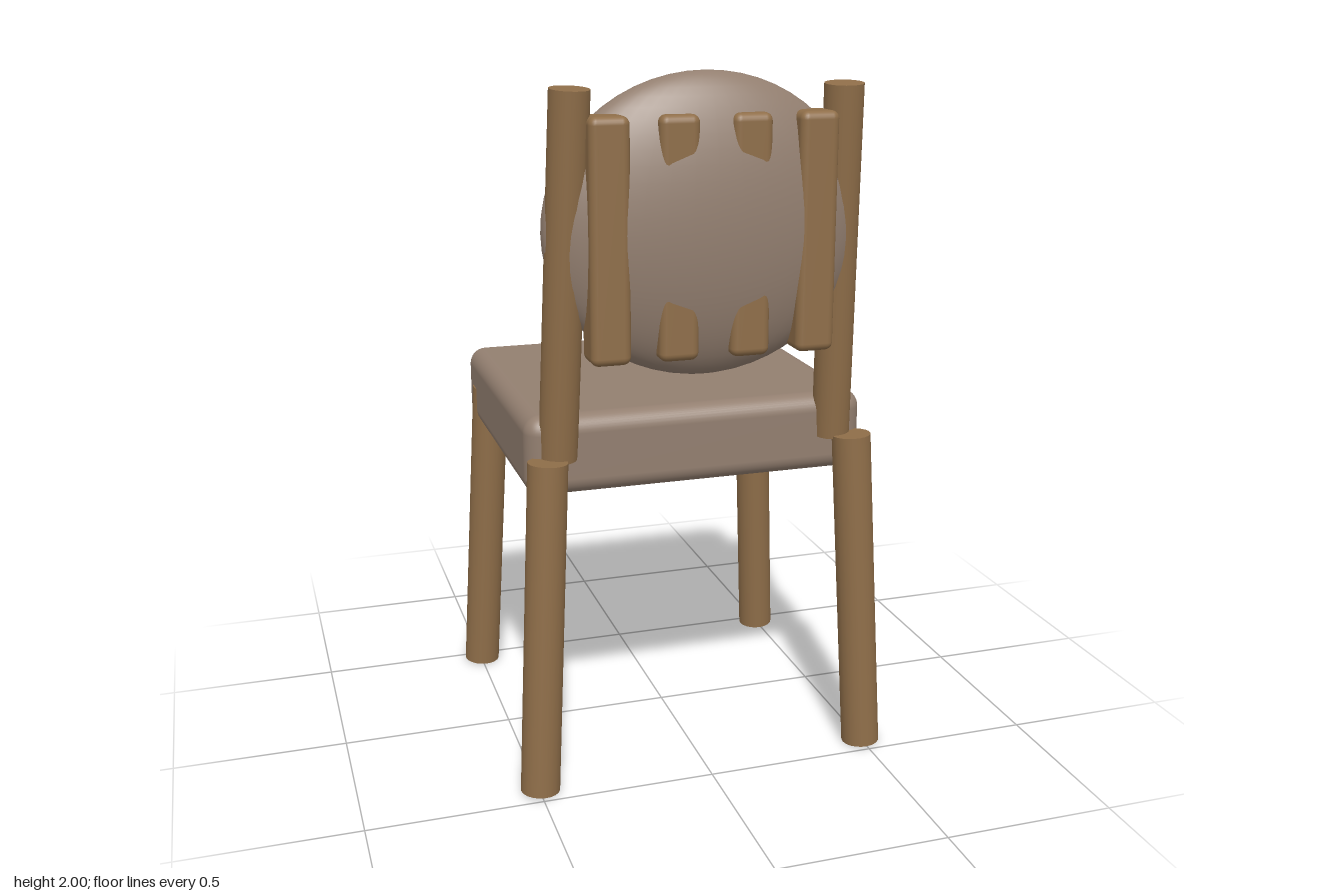
import * as THREE from 'three';
import { RoundedBoxGeometry } from 'three/addons/geometries/RoundedBoxGeometry.js';

export function createModel() {
  const group = new THREE.Group();
  const wood = new THREE.MeshStandardMaterial({ color: 0x8f6e49 });
  wood.name = 'wood';
  const fabric = new THREE.MeshStandardMaterial({ color: 0x937f70 });
  fabric.name = 'cushion fabric';

  function add(name, geometry, material, x, y, z) {
    const mesh = new THREE.Mesh(geometry, material);
    mesh.name = name;
    mesh.position.set(x, y, z);
    group.add(mesh);
    return mesh;
  }

  // Round pole running between two points
  function pole(name, from, to, radius) {
    const a = new THREE.Vector3(...from);
    const b = new THREE.Vector3(...to);
    const axis = b.clone().sub(a);
    const mid = a.clone().add(b).multiplyScalar(0.5);
    const geometry = new THREE.CylinderGeometry(radius, radius, axis.length(), 20);
    const mesh = add(name, geometry, wood, mid.x, mid.y, mid.z);
    mesh.quaternion.setFromUnitVectors(new THREE.Vector3(0, 1, 0), axis.normalize());
  }

  // Padded seat
  add('seat', new RoundedBoxGeometry(0.995, 0.23, 0.893, 5, 0.05), fabric, 0, 0.965, -0.078);

  // Oval back cushion
  const oval = new THREE.SphereGeometry(1, 40, 28);
  oval.scale(0.45, 0.41, 0.133);
  add('backCushion', oval, fabric, 0, 1.59, 0.386);

  for (const [label, s] of [['left', 1], ['right', -1]]) {
    // Splayed legs and leaning back posts
    pole(label + 'FrontLeg', [s * 0.497, 0.003, -0.463], [s * 0.447, 0.968, -0.413], 0.056);
    pole(label + 'RearLeg', [s * 0.497, 0.003, 0.438], [s * 0.447, 0.968, 0.403], 0.056);
    pole(label + 'BackPost', [s * 0.406, 0.96, 0.348], [s * 0.377, 1.962, 0.432], 0.054);

    // Upright slats behind the cushion
    for (const [part, x] of [['OuterSlat', 0.288], ['InnerSlat', 0.1]]) {
      add(label + part, new RoundedBoxGeometry(0.11, 0.65, 0.11, 3, 0.022), wood, s * x, 1.57, 0.444);
    }
  }
  return group;
}
